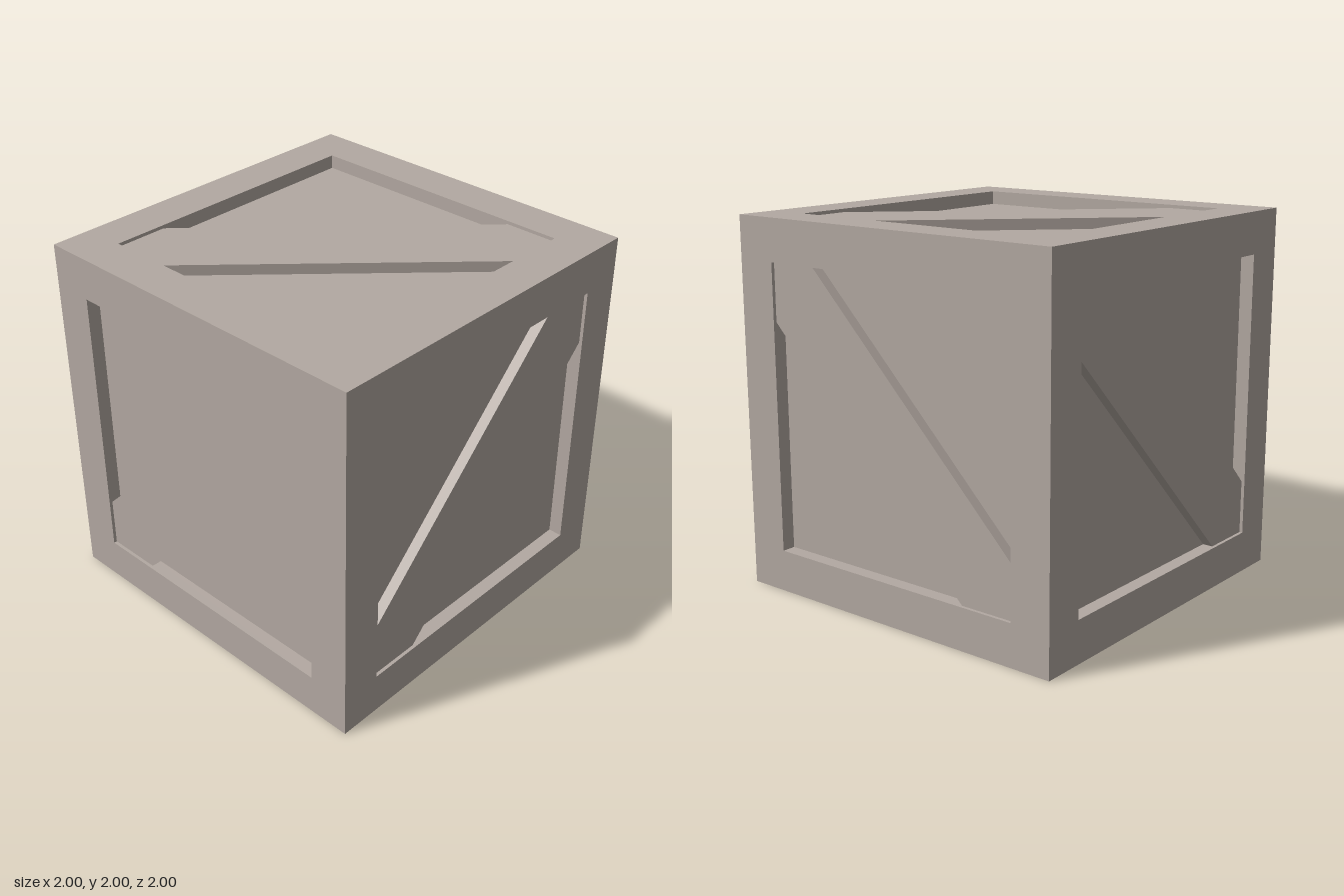
import * as THREE from 'three';

const HALF = 1;          // half the crate's side
const OPEN = 0.773;      // half the opening in each frame
const RECESS = 0.075;    // depth of the panels behind the frame
const BRACE_DEPTH = 0.018; // depth of the braces behind the frame
const BRACE_SPAN = 0.294;  // half the brace's width, measured vertically

const square = (Type, s) => new Type([[-s, -s], [s, -s], [s, s], [-s, s]].map(p => new THREE.Vector2(...p)));

// Square frame with a mitred back, so that six of them meet at the crate's edges
function frameGeometry() {
  const shape = square(THREE.Shape, HALF);
  shape.holes.push(square(THREE.Path, OPEN));
  const geo = new THREE.ExtrudeGeometry(shape, { depth: RECESS, bevelEnabled: false });
  const pos = geo.attributes.position;
  for (let i = 0; i < pos.count; i++) {
    if (pos.getZ(i) < RECESS / 2 && Math.abs(pos.getX(i)) > OPEN + 0.1) {
      pos.setX(i, Math.sign(pos.getX(i)) * (HALF - RECESS));
      pos.setY(i, Math.sign(pos.getY(i)) * (HALF - RECESS));
    }
  }
  geo.translate(0, 0, HALF - RECESS);
  geo.computeVertexNormals();
  return geo;
}

// Diagonal plank clipped by the opening; slope 1 rises to the right, -1 falls
function braceGeometry(slope, shift) {
  const hi = shift + BRACE_SPAN, lo = shift - BRACE_SPAN, s = OPEN;
  const points = [[-s, -s], [-s - lo, -s], [s, s + lo], [s, s], [s - hi, s], [-s, -s + hi]];
  const shape = new THREE.Shape(points.map(([x, y]) => new THREE.Vector2(slope * x, y)));
  const geo = new THREE.ExtrudeGeometry(shape, { depth: RECESS - BRACE_DEPTH, bevelEnabled: false });
  return geo.translate(0, 0, HALF - RECESS);
}

export function createModel() {
  const wood = new THREE.MeshStandardMaterial({ color: 0xb3a9a2 });
  wood.name = 'greyWood';

  const crate = new THREE.Group();
  crate.name = 'crate';
  const body = new THREE.Group();
  body.position.y = HALF;
  body.name = 'body';
  crate.add(body);

  // Recessed panels on all six sides
  const inner = 2 * (HALF - RECESS);
  const panels = new THREE.Mesh(new THREE.BoxGeometry(inner, inner, inner), wood);
  panels.name = 'panels';
  body.add(panels);

  // Frame and brace of each side; the underside has no brace
  const q = Math.PI / 2;
  const frame = frameGeometry();
  const sides = [
    { name: 'front', rot: [0, 0], slope: 1, shift: 0 },
    { name: 'back', rot: [0, 2 * q], slope: -1, shift: 0 },
    { name: 'left', rot: [0, q], slope: -1, shift: -0.017 },
    { name: 'right', rot: [0, -q], slope: 1, shift: -0.017 },
    { name: 'top', rot: [-q, 0], slope: -1, shift: 0 },
    { name: 'bottom', rot: [q, 0], slope: 0, shift: 0 },
  ];
  for (const { name, rot, slope, shift } of sides) {
    const side = new THREE.Group();
    side.name = name + 'Side';
    side.rotation.set(rot[0], rot[1], 0);
    const border = new THREE.Mesh(frame, wood);
    border.name = name + 'Frame';
    side.add(border);
    if (slope) {
      const brace = new THREE.Mesh(braceGeometry(slope, shift), wood);
      brace.name = name + 'Brace';
      side.add(brace);
    }
    body.add(side);
  }
  return crate;
}
